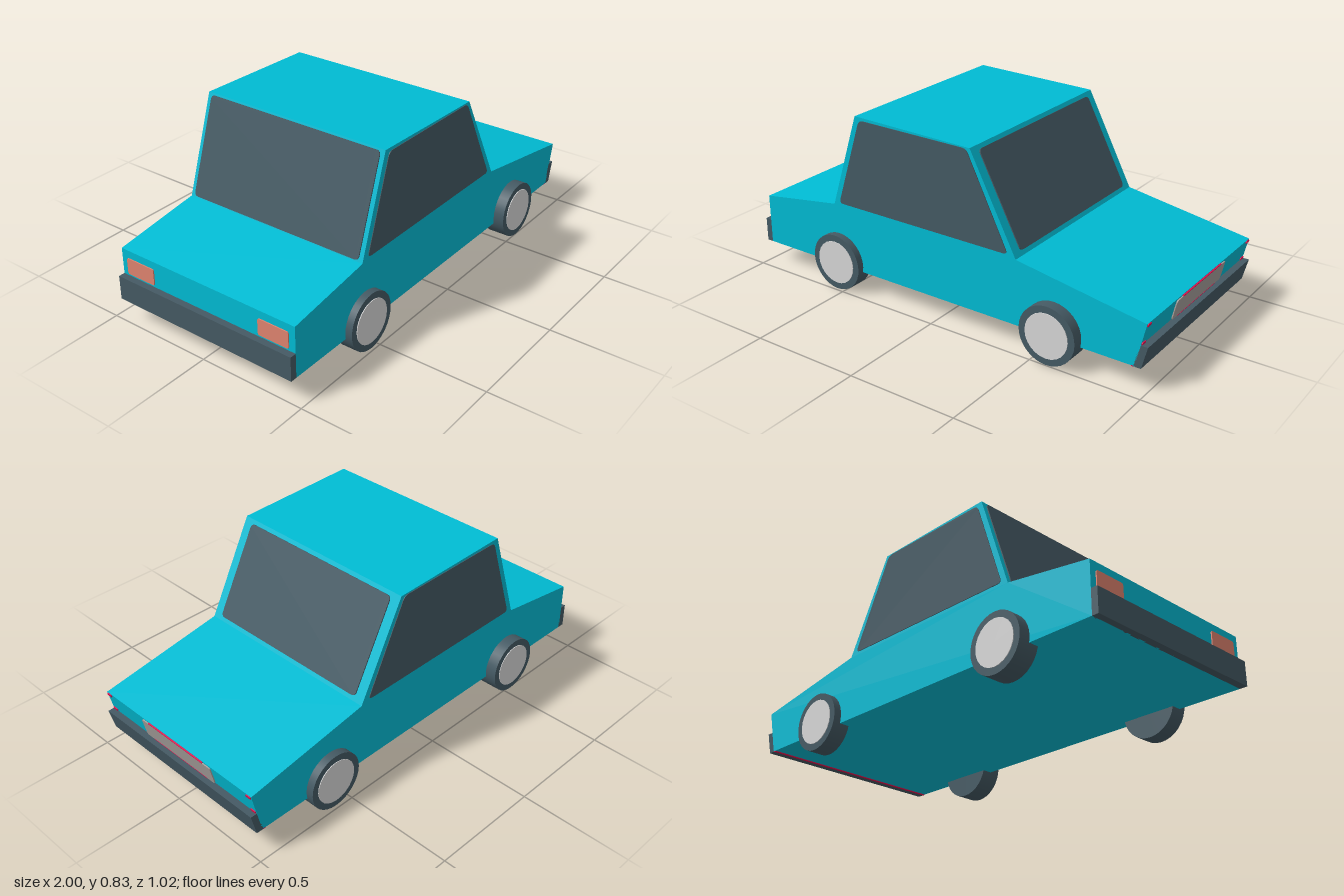
import * as THREE from 'three';

const paint = (name, color) => {
  const m = new THREE.MeshStandardMaterial({ color });
  m.name = name;
  return m;
};

// Side outline of the body, nose towards +x
const tailLow = [-0.97, 0.105], tailTop = [-0.97, 0.335];
const rearGlassLow = [-0.56, 0.397], roofBack = [-0.415, 0.83];
const roofFront = [0.18, 0.817], screenLow = [0.4, 0.397];
const noseTop = [0.99, 0.3], noseLow = [0.945, 0.105];
const HALF = 0.455;

const polygon = (pts) => new THREE.Shape(pts.map(([x, y]) => new THREE.Vector2(x, y)));

// Polygon with softened corners
function roundedPolygon(pts, r) {
  const s = new THREE.Shape();
  const v = pts.map(([x, y]) => new THREE.Vector2(x, y));
  v.forEach((p, i) => {
    const prev = v[(i + v.length - 1) % v.length], next = v[(i + 1) % v.length];
    const a = prev.clone().sub(p).setLength(r).add(p);
    const b = next.clone().sub(p).setLength(r).add(p);
    if (i === 0) s.moveTo(a.x, a.y); else s.lineTo(a.x, a.y);
    s.quadraticCurveTo(p.x, p.y, b.x, b.y);
  });
  s.closePath();
  return s;
}

const extrude = (shape, depth) =>
  new THREE.ExtrudeGeometry(shape, { depth, bevelEnabled: false, curveSegments: 4 });

export function createModel() {
  const car = new THREE.Group();
  car.name = 'car';
  const teal = paint('bodyTeal', 0x00bcd4);
  const slate = paint('slate', 0x455a64);
  const silver = paint('hubSilver', 0xd8d8d8);
  const grey = paint('grilleGrey', 0xa8a19d);
  const lamp = paint('tailLampRed', 0xe08470);
  const pink = paint('trimPink', 0xe0124f);

  const add = (name, geometry, material) => {
    const mesh = new THREE.Mesh(geometry, material);
    mesh.name = name;
    car.add(mesh);
    return mesh;
  };

  // Full-width part swept across the car
  const sweep = (name, pts, material, half = HALF) => {
    const g = extrude(polygon(pts), half * 2);
    g.translate(0, 0, -half);
    return add(name, g, material);
  };

  // Thin plate lying on the end face that runs up from a to b
  const endPanel = (name, a, b, y0, y1, z0, z1, r, material, thick = 0.005) => {
    const facing = a[0] > 0 ? 1 : -1;
    const at = (y) => new THREE.Vector3(a[0] + (b[0] - a[0]) * (y - a[1]) / (b[1] - a[1]), y, 0);
    const up = at(y1).sub(at(y0));
    const h = up.length();
    up.normalize();
    const across = new THREE.Vector3(0, 0, -facing);
    const out = new THREE.Vector3().crossVectors(across, up);
    const w = (z1 - z0) / 2;
    const g = extrude(roundedPolygon([[-w, 0], [w, 0], [w, h], [-w, h]], r), thick);
    const m = new THREE.Matrix4().makeBasis(across, up, out);
    m.setPosition(at(y0).add(new THREE.Vector3(0, 0, (z0 + z1) / 2)));
    g.applyMatrix4(m);
    add(name, g, material);
  };

  // Body shell and bumpers
  sweep('body', [tailLow, noseLow, noseTop, screenLow, roofFront, roofBack, rearGlassLow, tailTop], teal);
  sweep('frontBumper', [[0.94, 0.103], [0.973, 0.103], [0.998, 0.202], [0.962, 0.202]], slate);
  sweep('rearBumper', [[-1, 0.105], [-0.965, 0.105], [-0.965, 0.215], [-1, 0.215]], slate);

  // Windscreen and rear window
  endPanel('windscreen', screenLow, roofFront, 0.415, 0.8, -0.41, 0.41, 0.02, slate);
  endPanel('rearWindow', rearGlassLow, roofBack, 0.403, 0.822, -0.435, 0.435, 0.02, slate);

  // Side windows
  const side = roundedPolygon([[-0.527, 0.41], [0.363, 0.41], [0.163, 0.812], [-0.392, 0.816]], 0.022);
  for (const s of [1, -1]) {
    const glass = add(s > 0 ? 'rightSideWindow' : 'leftSideWindow', extrude(side, 0.004), slate);
    glass.position.z = s > 0 ? HALF - 0.001 : -HALF - 0.003;
  }

  // Grille and nose trim
  endPanel('grille', noseLow, noseTop, 0.203, 0.293, -0.215, 0.215, 0.012, grey);
  for (const y of [0.202, 0.294]) {
    endPanel('noseTrim', noseLow, noseTop, y, y + 0.004, -0.17, 0.17, 0.001, pink, 0.006);
    for (const s of [1, -1]) {
      const z = s * 0.438;
      endPanel('cornerTrim', noseLow, noseTop, y - (y > 0.25 ? 0.008 : 0), y + (y > 0.25 ? 0.004 : 0.012),
        z - 0.014, z + 0.014, 0.005, pink, 0.004);
    }
  }
  sweep('lowerNoseTrim', [[0.93, 0.102], [0.941, 0.102], [0.941, 0.106], [0.93, 0.106]], pink);

  // Tail lamps
  for (const s of [1, -1]) {
    endPanel('tailLamp', tailLow, tailTop, 0.225, 0.3, s * 0.35 - 0.075, s * 0.35 + 0.075, 0.01, lamp);
  }

  // Wheels: x, y, signed outer z
  const wheels = [[0.58, 0.137, 0.505], [0.58, 0.137, -0.49], [-0.54, 0.131, 0.487], [-0.54, 0.131, -0.507]];
  for (const [x, y, z] of wheels) {
    const s = Math.sign(z), width = Math.abs(z) - 0.408;
    const tyre = new THREE.CylinderGeometry(0.13, 0.13, width, 32).rotateX(Math.PI / 2);
    add('tyre', tyre, slate).position.set(x, y, z - s * width / 2);
    const hub = new THREE.CylinderGeometry(0.1, 0.1, 0.006, 24).rotateX(Math.PI / 2);
    add('hub', hub, silver).position.set(x, y, z);
  }
  return car;
}
